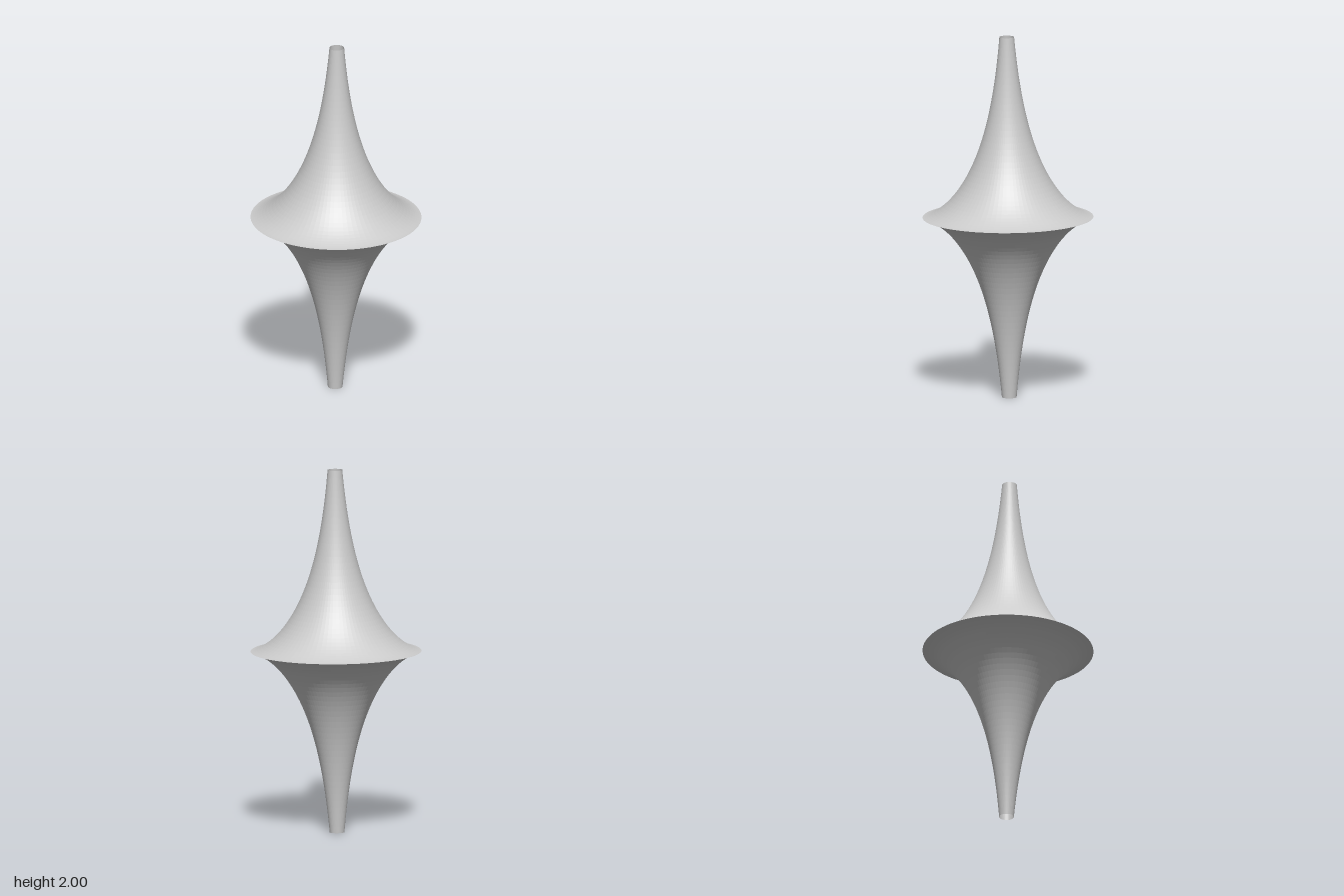
import * as THREE from 'three';

// Pseudosphere: a tractrix turned about its upright axis, open at both tips.
export function createModel() {
  const group = new THREE.Group();
  const uMax = Math.PI;
  const steps = 40; // per half
  const radius = 1 / (uMax - Math.tanh(uMax)); // gives a half height of 1

  // Tractrix profile, from the lower tip over the sharp rim to the upper tip
  const profile = [];
  for (let i = -steps; i <= steps; i++) {
    const u = (uMax * i) / steps;
    profile.push(new THREE.Vector2(radius / Math.cosh(u), radius * (u - Math.tanh(u))));
  }

  const material = new THREE.MeshStandardMaterial({
    color: 0xcccccc,
    flatShading: true,
    side: THREE.DoubleSide,
  });
  const surface = new THREE.Mesh(new THREE.LatheGeometry(profile, 80), material);
  surface.name = 'pseudosphereSurface';
  surface.position.y = 1;
  surface.rotation.x = 0.009; // the axis leans very slightly forward
  group.add(surface);
  group.name = 'pseudosphere';
  return group;
}
